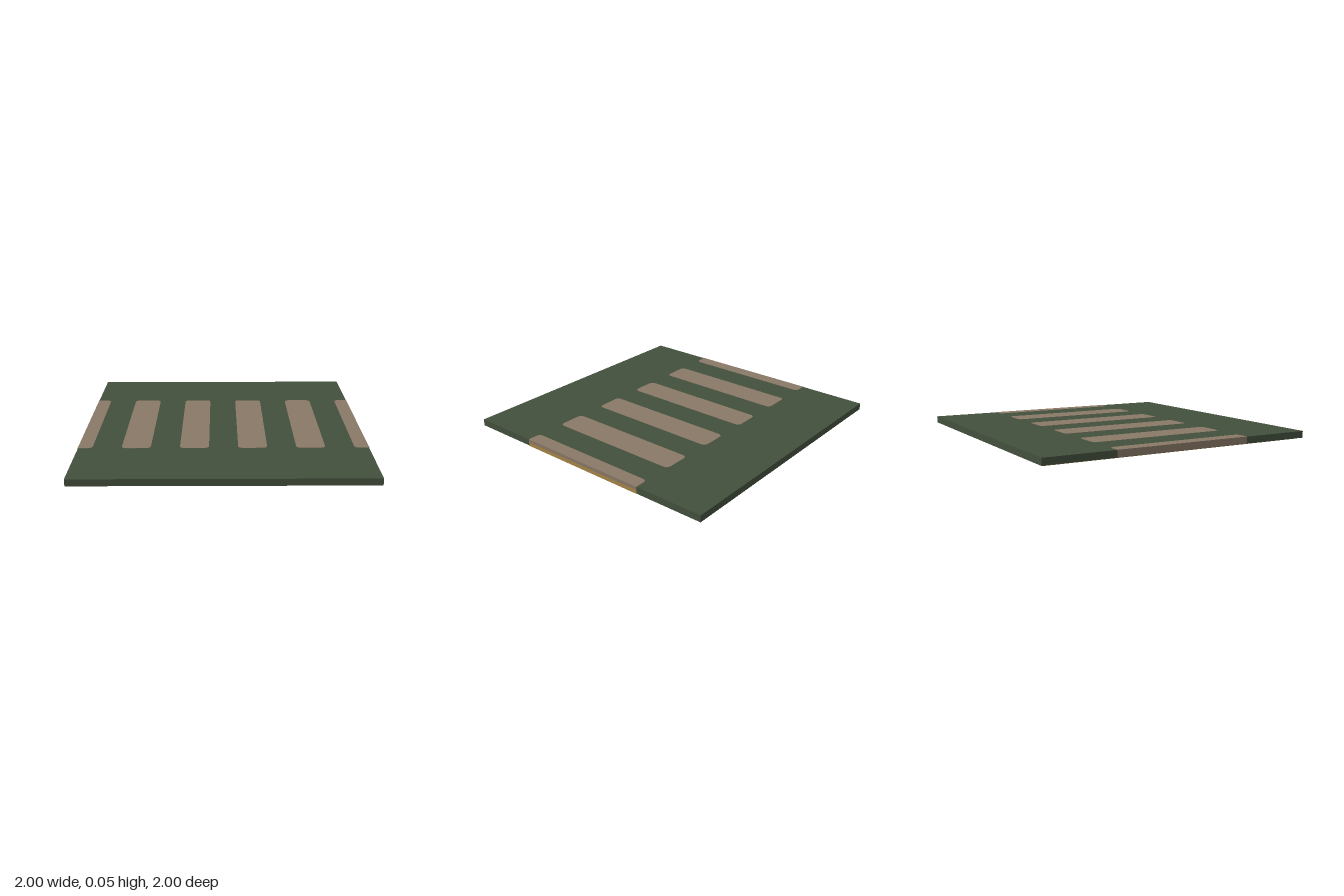
import * as THREE from 'three';

export function createModel() {
  const group = new THREE.Group();
  const mat = (name, color) => {
    const m = new THREE.MeshStandardMaterial({ color });
    m.name = name;
    return m;
  };
  const green = mat('ground green', 0x43503d);
  const brown = mat('sleeper brown', 0x8a7866);
  const gold = mat('ballast gold', 0xa88646);

  const add = (name, geometry, material) => {
    const mesh = new THREE.Mesh(geometry, material);
    mesh.name = name;
    group.add(mesh);
  };

  // Box given by its extents on each axis
  const box = (name, material, x0, x1, y0, y1, z0, z1) => {
    const g = new THREE.BoxGeometry(x1 - x0, y1 - y0, z1 - z0);
    g.translate((x0 + x1) / 2, (y0 + y1) / 2, (z0 + z1) / 2);
    add(name, g, material);
  };

  // Flat plate with rounded corners; a radius of zero keeps that side square
  const plate = (name, x0, x1, y0, y1, rl, rr) => {
    const h = 0.5;
    const s = new THREE.Shape();
    s.moveTo(x0 + rl, -h);
    s.lineTo(x1 - rr, -h);
    if (rr) s.quadraticCurveTo(x1, -h, x1, -h + rr);
    s.lineTo(x1, h - rr);
    if (rr) s.quadraticCurveTo(x1, h, x1 - rr, h);
    s.lineTo(x0 + rl, h);
    if (rl) s.quadraticCurveTo(x0, h, x0, h - rl);
    s.lineTo(x0, -h + rl);
    if (rl) s.quadraticCurveTo(x0, -h, x0 + rl, -h);
    const g = new THREE.ExtrudeGeometry(s, { depth: y1 - y0, bevelEnabled: false, curveSegments: 4 });
    g.rotateX(-Math.PI / 2);
    g.translate(0, y0, 0);
    add(name, g, brown);
  };

  // Ground tile
  box('groundTile', green, -0.998, 0.998, 0.001, 0.049, -1, 1);

  // Whole sleepers set into the tile
  const r = 0.035;
  for (let i = 0; i < 4; i++) {
    const x = -0.6 + 0.4 * i;
    plate('sleeper', x - 0.1, x + 0.1, 0.045, 0.0505, r, r);
  }

  // Half sleepers cut by the tile edges
  plate('halfSleeperRight', -1, -0.9, 0.003, 0.0505, 0, r);
  plate('halfSleeperLeft', 0.9, 1, 0.027, 0.0505, r, 0);

  // Gold underlayer showing at the edges and below
  box('underlayerLeft', gold, 0.96, 1, 0, 0.027, -0.5, 0.5);
  box('underlayerRight', gold, -0.998, -0.8, 0, 0.003, -0.8, 0.92);
  box('underlayerRightEnd', gold, -0.998, -0.84, 0, 0.003, -0.98, -0.8);

  return group;
}
